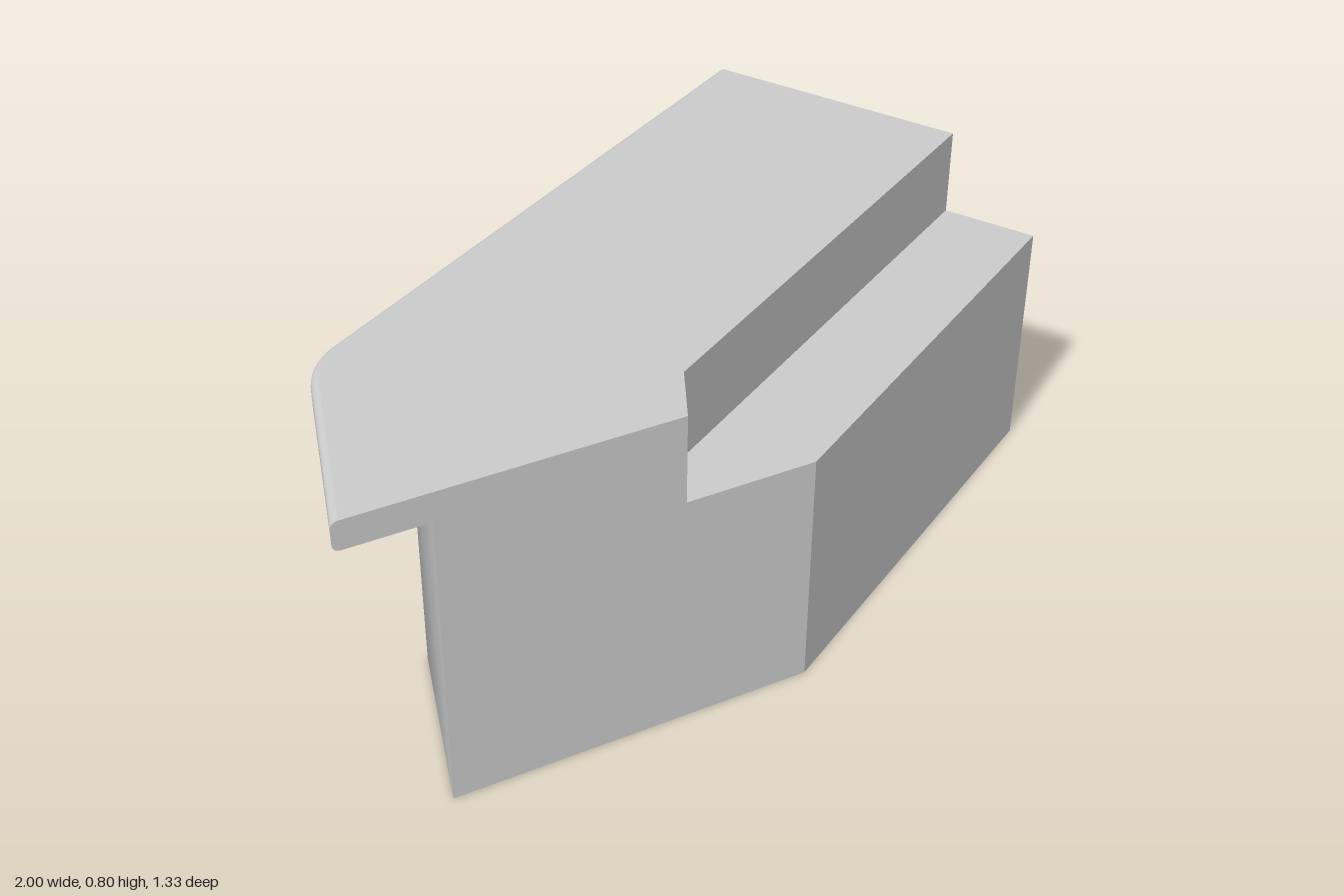
import * as THREE from 'three';

const TOP = 0.803, LEDGE = 0.588, LIP = 0.733, ROUND = 0.016;
const material = new THREE.MeshStandardMaterial({ color: 0xcccccc, side: THREE.DoubleSide });
const v2 = (x, z) => new THREE.Vector2(x, z);
const at = (p, y) => new THREE.Vector3(p.x, y, p.y);

function makeMesh(name, points, index) {
  const geometry = new THREE.BufferGeometry().setFromPoints(points);
  geometry.setIndex(index);
  geometry.computeVertexNormals();
  const mesh = new THREE.Mesh(geometry, material);
  mesh.name = name;
  return mesh;
}

// Smooth surface through equally long rows of points
function strip(name, rows) {
  const n = rows[0].length, index = [];
  for (let r = 0; r < rows.length - 1; r++) {
    for (let i = 0; i < n - 1; i++) {
      const a = r * n + i, b = a + n;
      index.push(a, a + 1, b, a + 1, b + 1, b);
    }
  }
  return makeMesh(name, rows.flat(), index);
}

// Upright wall above a plan path, one separate smooth surface
const wall = (name, path, y0, y1) =>
  strip(name, [path.map((p) => at(p, y0)), path.map((p) => at(p, y1))]);

// Flat polygon facing the given direction
function face(name, points, outward) {
  const flat = points.map((p) => v2(p.x, outward.y ? p.z : p.y));
  const tris = THREE.ShapeUtils.triangulateShape(flat, []);
  const [a, b, c] = tris[0].map((i) => points[i]);
  const normal = b.clone().sub(a).cross(c.clone().sub(a));
  if (normal.dot(outward) < 0) tris.forEach((t) => t.reverse());
  return makeMesh(name, points, tris.flat());
}

export function createModel() {
  const group = new THREE.Group();
  group.name = 'angledCabinet';

  // Plan corners of the body
  const frontLeft = v2(-0.8, 0.667), backLeft = v2(-0.685, 0.242), backEnd = v2(0.635, -0.518);
  const frontBend = v2(0.05, 0.667), frontEnd = v2(1, 0.113);
  const stepFront = v2(-0.255, 0.667), stepCorner = v2(-0.19, 0.527), stepEnd = v2(0.88, -0.09);

  // Overhanging lip: outer path with a rounded corner, paired with the body path
  const bend = new THREE.QuadraticBezierCurve(v2(-0.79, 0.104), v2(-0.858, 0.144), v2(-0.88, 0.225)).getPoints(10);
  const outer = [v2(0.547, -0.667), ...bend, v2(-1, 0.667)];
  const inner = [backEnd, ...bend.map(() => backLeft), frontLeft];
  const lipRow = (inset, y) => outer.map((p, i) => at(p.clone().lerp(inner[i], inset / 0.18), y));

  // Rounded rim section, from underside to top
  const rim = [];
  for (const [y, start] of [[LIP + ROUND, -90], [TOP - ROUND, 0]]) {
    for (let k = 0; k <= 4; k++) {
      const a = THREE.MathUtils.degToRad(start + k * 22.5);
      rim.push(lipRow(ROUND * (1 - Math.cos(a)), y + ROUND * Math.sin(a)));
    }
  }
  const topEdge = rim[rim.length - 1];
  group.add(strip('lipRim', rim));
  group.add(strip('lipUnderside', [lipRow(0.18, LIP), rim[0]]));

  // Top and lowered ledge
  const up = new THREE.Vector3(0, 1, 0);
  group.add(face('top', [...topEdge, ...[stepFront, stepCorner, stepEnd].map((p) => at(p, TOP))], up));
  group.add(face('ledge', [stepFront, stepCorner, stepEnd, frontEnd, frontBend].map((p) => at(p, LEDGE)), up));

  // Riser behind the ledge
  group.add(wall('shortRiser', [stepFront, stepCorner], LEDGE, TOP));
  group.add(wall('longRiser', [stepCorner, stepEnd], LEDGE, TOP));

  // Body walls, open underneath
  group.add(wall('backWall', [backEnd, backLeft, frontLeft], 0, LIP));
  group.add(wall('slantedFrontWall', [frontBend, frontEnd], 0, LEDGE));

  // Stepped end panels, closed by the section of the lip
  const panel = (name, near, step, back, column, outward) => face(name, [
    at(near, 0), at(near, LEDGE), at(step, LEDGE), at(step, TOP),
    ...rim.map((row) => row[column]).reverse(), at(back, LIP), at(back, 0),
  ], outward);
  group.add(panel('frontPanel', frontBend, stepFront, frontLeft, outer.length - 1, new THREE.Vector3(0, 0, 1)));
  group.add(panel('endPanel', frontEnd, stepEnd, backEnd, 0, new THREE.Vector3(0.866, 0, -0.5)));

  return group;
}
